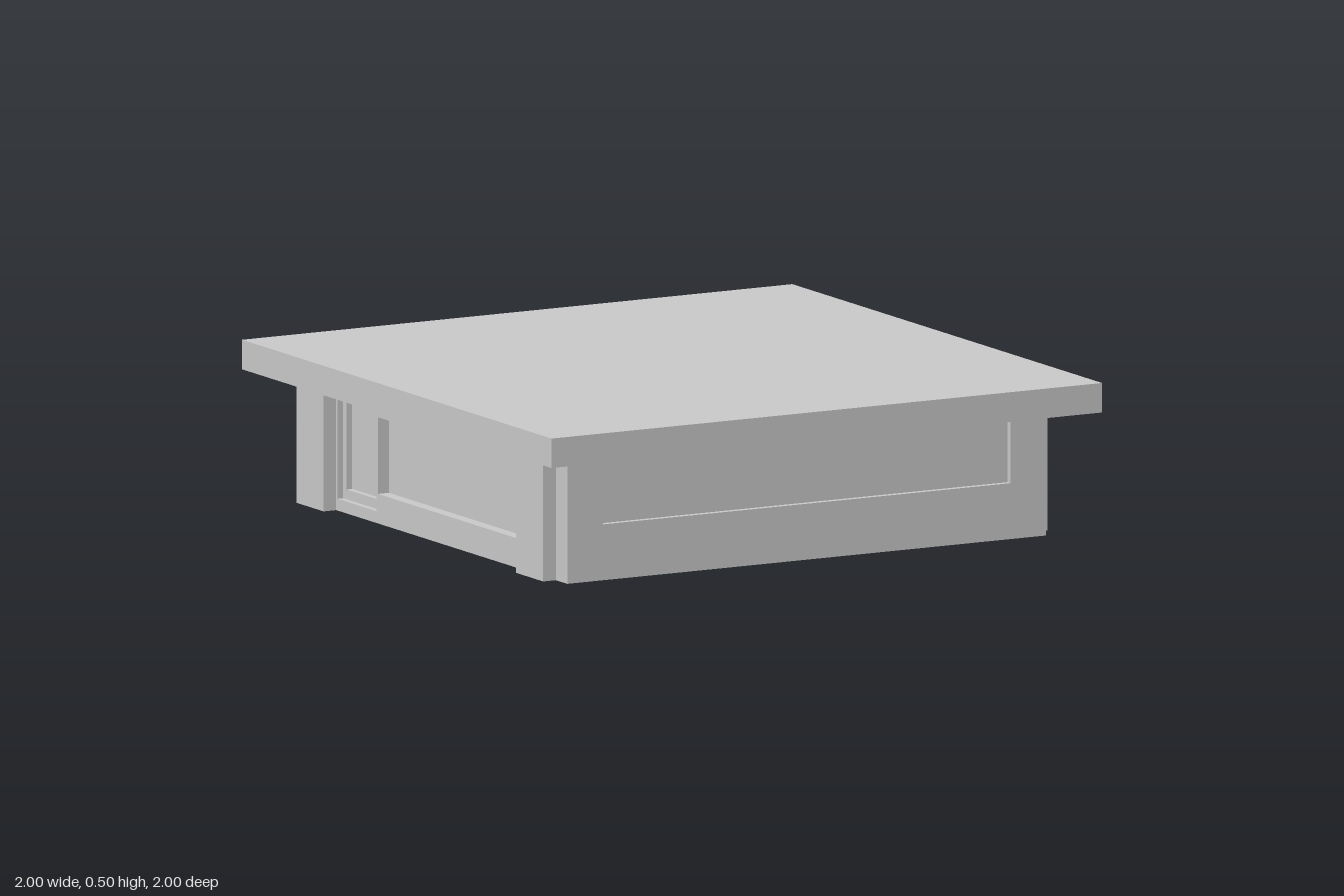
import * as THREE from 'three';

const H = 0.405; // wall height, underside of the roof
const material = new THREE.MeshStandardMaterial({ color: 0xcccccc, flatShading: true });

function add(parent, name, geometry) {
  const mesh = new THREE.Mesh(geometry, material);
  mesh.name = name;
  parent.add(mesh);
  return mesh;
}

function box(parent, name, x0, x1, y0, y1, z0, z1) {
  const mesh = add(parent, name, new THREE.BoxGeometry(x1 - x0, y1 - y0, z1 - z0));
  mesh.position.set((x0 + x1) / 2, (y0 + y1) / 2, (z0 + z1) / 2);
  return mesh;
}

const rect = (u0, u1, v0, v1) =>
  [[u0, v0], [u1, v0], [u1, v1], [u0, v1]].map(([u, v]) => new THREE.Vector2(u, v));

// Flat plate from an outline with rectangular openings, turned to face its side
function plate(parent, name, outline, openings, depth, angle, offset) {
  const shape = new THREE.Shape(outline);
  for (const o of openings) shape.holes.push(new THREE.Path(rect(...o)));
  const geometry = new THREE.ExtrudeGeometry(shape, { depth, bevelEnabled: false });
  geometry.translate(0, 0, offset);
  geometry.rotateY(angle);
  return add(parent, name, geometry);
}

export function createModel() {
  const model = new THREE.Group();
  model.name = 'building';

  // Roof slab and inner core
  box(model, 'roof', -1, 1, H, 0.5, -1, 1);
  box(model, 'core', -0.83, 0.83, 0, H, -0.84, 0.85);

  // Front wall, with a wide shallow recess open up to the roof
  const front = [[-0.87, 0], [0.87, 0], [0.87, H], [0.74, H], [0.74, 0.18],
    [-0.74, 0.18], [-0.74, H], [-0.87, H]].map(([u, v]) => new THREE.Vector2(u, v));
  plate(model, 'frontWall', front, [], 0.02, 0, 0.85);

  // Back wall with a recessed door and its small window
  plate(model, 'backWall', rect(-0.87, 0.87, 0, H), [[-0.66, -0.41, 0.04, 0.385]], 0.02, Math.PI, 0.85);
  plate(model, 'door', rect(-0.83, 0.83, 0, H), [[-0.505, -0.442, 0.16, 0.31]], 0.01, Math.PI, 0.84);

  // Side walls: long window opening and a stepped narrow opening near the back
  for (const s of [1, -1]) {
    const span = (a, b, v0, v1) => (s > 0 ? [-a, -b, v0, v1] : [b, a, v0, v1]);
    const long = span(0.617, -0.353, 0.095, 0.342);
    const side = rect(-0.85, 0.85, 0, H);
    const angle = s * Math.PI / 2;
    plate(model, 'sideWall', side, [long, span(-0.361, -0.613, 0.038, 0.39)], 0.02, angle, 0.85);
    plate(model, 'sideWindowFrame', side, [long, span(-0.387, -0.59, 0.07, 0.373)], 0.02, angle, 0.83);

    // Pillars standing proud of the side wall
    for (const e of [1, -1]) {
      const x = [s * 0.87, s * 0.916].sort((a, b) => a - b);
      const z = [e * 0.622, e * 0.796].sort((a, b) => a - b);
      box(model, 'pillar', x[0], x[1], 0, H, z[0], z[1]);
    }
  }
  return model;
}
